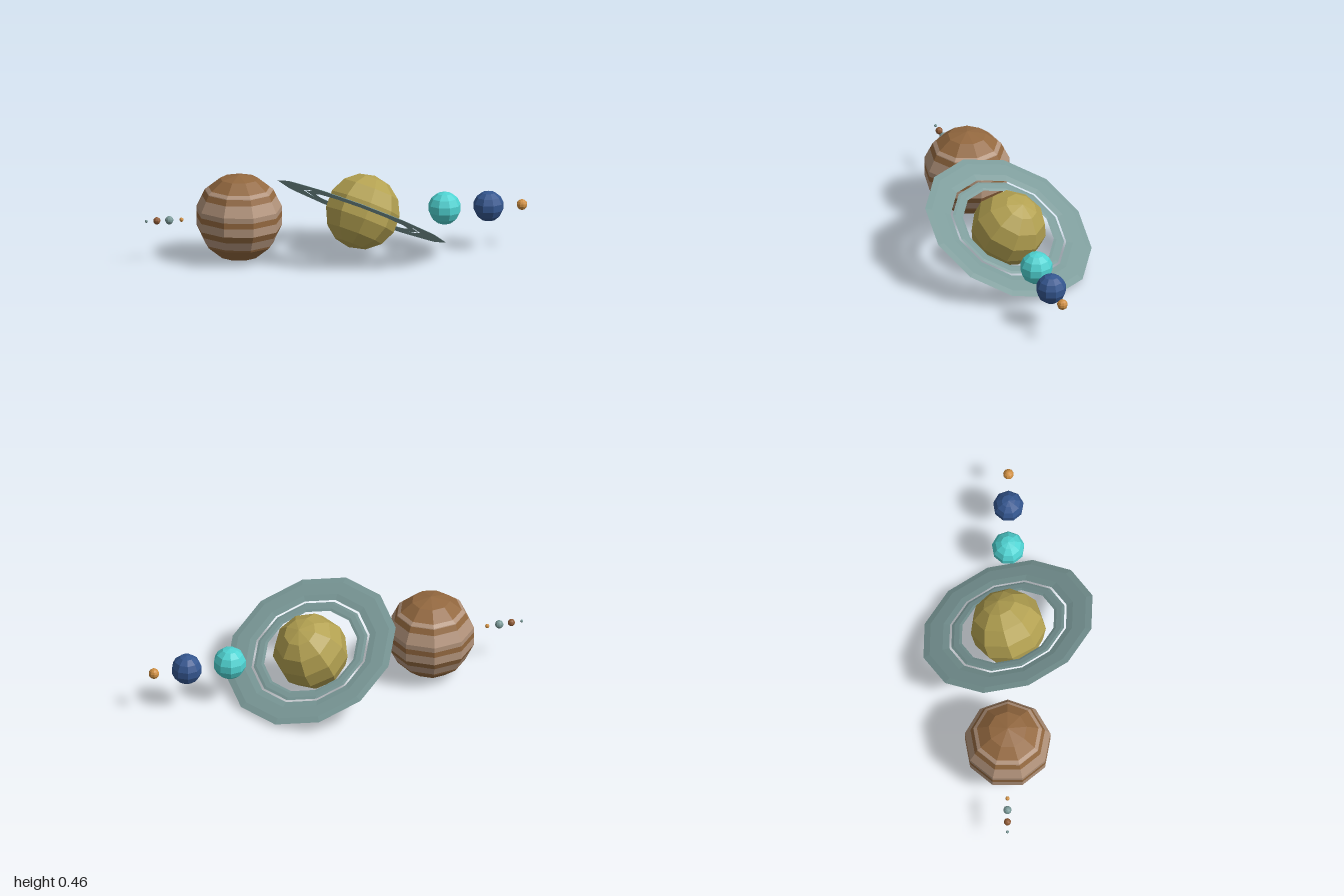
import * as THREE from 'three';

const mat = (name, color) => {
  const m = new THREE.MeshStandardMaterial({ color, flatShading: true });
  m.name = name;
  return m;
};

const CENTER_Y = 0.231;
const SIDES = 9;
const RINGS = 7;

// Height and radius pairs of a low-poly ball, bottom to top
function ballProfile(r) {
  const pts = [];
  for (let i = 0; i <= RINGS; i++) {
    const a = (i / RINGS) * Math.PI;
    pts.push(new THREE.Vector2(Math.max(0, r * Math.sin(a)), -r * Math.cos(a)));
  }
  return pts;
}

// Part of the ball profile between two heights
function sliceProfile(profile, y0, y1) {
  const radiusAt = (y) => {
    for (let i = 0; i < profile.length - 1; i++) {
      const a = profile[i], b = profile[i + 1];
      if (y <= b.y) return a.x + ((b.x - a.x) * (y - a.y)) / (b.y - a.y);
    }
    return 0;
  };
  return [
    new THREE.Vector2(radiusAt(y0), y0),
    ...profile.filter((p) => p.y > y0 + 1e-4 && p.y < y1 - 1e-4),
    new THREE.Vector2(radiusAt(y1), y1),
  ];
}

// One corner of the ball always points to +x
const spin = (points, sides = SIDES) => new THREE.LatheGeometry(points, sides, Math.PI / 2);

function ball(name, r, x, material) {
  const mesh = new THREE.Mesh(spin(ballProfile(r)), material);
  mesh.name = name;
  mesh.position.set(x, CENTER_Y, 0);
  return mesh;
}

export function createModel() {
  const model = new THREE.Group();
  model.name = 'planets';

  const brown = mat('brown', 0x93683f);
  const pale = mat('paleTan', 0xb2937b);
  const olive = mat('olive', 0xb3a151);
  const slate = mat('slateTeal', 0x7b9a99);
  const cyan = mat('cyan', 0x4fd3d2);
  const navy = mat('navy', 0x34568f);
  const orange = mat('orange', 0xcf8f42);
  const rust = mat('rust', 0x8f5a35);

  // Plain round planets, from one end of the row to the other
  model.add(
    ball('tinyPlanet', 0.008, -0.992, slate),
    ball('rustPlanet', 0.019, -0.937, rust),
    ball('greyBluePlanet', 0.022, -0.872, slate),
    ball('smallOrangePlanet', 0.011, -0.808, orange),
    ball('cyanPlanet', 0.086, 0.567, cyan),
    ball('navyPlanet', 0.08, 0.797, navy),
    ball('orangeStar', 0.028, 0.972, orange),
  );

  // Large banded planet, alternating brown and pale belts
  const banded = new THREE.Group();
  banded.name = 'bandedPlanet';
  banded.position.set(-0.507, CENTER_Y, 0);
  const R = 0.229;
  const cuts = [-R, -0.131, -0.085, -0.051, -0.006, 0.024, 0.109, 0.139, 0.157, R];
  const profile = ballProfile(R);
  for (let i = 0; i < cuts.length - 1; i++) {
    const belt = new THREE.Mesh(
      spin(sliceProfile(profile, cuts[i], cuts[i + 1])), i % 2 ? pale : brown);
    belt.name = 'belt' + (i + 1);
    banded.add(belt);
  }
  model.add(banded);

  // Tilted planet with two thin rings
  const ringed = new THREE.Group();
  ringed.name = 'ringedPlanet';
  const up = new THREE.Vector3(0.45, 1, -0.3).normalize();
  const side = new THREE.Vector3(0.412, -0.148, 0.123);
  side.addScaledVector(up, -side.dot(up)).normalize();
  const front = new THREE.Vector3().crossVectors(side, up);
  ringed.quaternion.setFromRotationMatrix(new THREE.Matrix4().makeBasis(side, up, front));
  ringed.position.set(0.135, 0.232, 0);

  const body = ball('ringedBody', 0.197, 0, olive);
  body.position.y = 0;
  ringed.add(body);

  // Flattened hexagonal cross-section, swept round twelve sides
  const ring = (name, inner, outer, h) => {
    const w = outer - inner;
    const section = [
      [inner, 0], [inner + w * 0.25, -h], [outer - w * 0.25, -h],
      [outer, 0], [outer - w * 0.25, h], [inner + w * 0.25, h], [inner, 0],
    ].map(([x, y]) => new THREE.Vector2(x, y));
    const mesh = new THREE.Mesh(spin(section, 12), slate);
    mesh.name = name;
    ringed.add(mesh);
  };
  ring('outerRing', 0.323, 0.465, 0.005);
  ring('innerRing', 0.254, 0.311, 0.003);
  model.add(ringed);

  return model;
}
